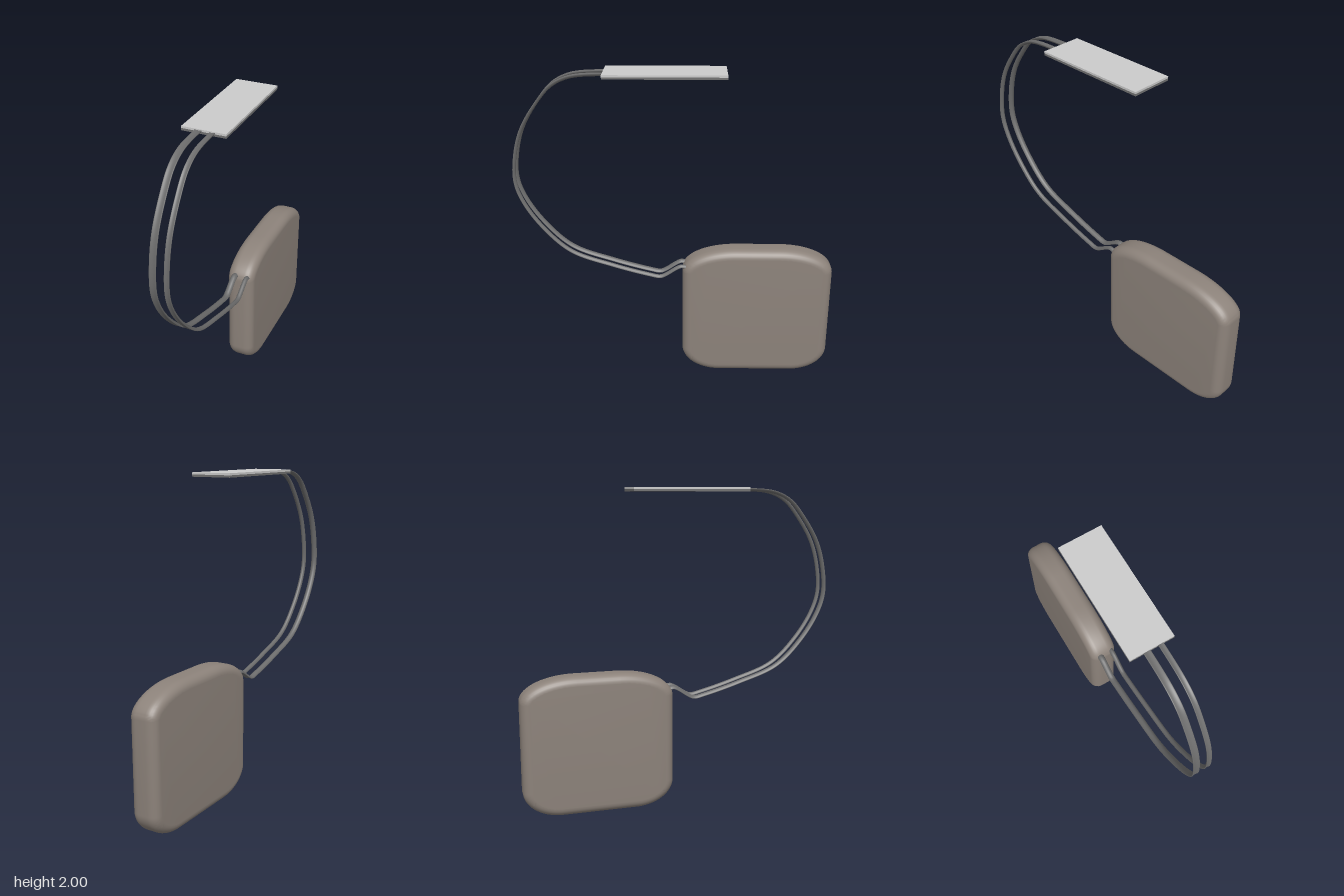
import * as THREE from 'three';
import { toCreasedNormals } from 'three/addons/utils/BufferGeometryUtils.js';
import { ParametricGeometry } from 'three/addons/geometries/ParametricGeometry.js';

const caseMat = new THREE.MeshStandardMaterial({ color: 0x8c827a });
const wireMat = new THREE.MeshStandardMaterial({ color: 0x6b6b6b, side: THREE.DoubleSide });
const darkMat = new THREE.MeshStandardMaterial({ color: 0x707070 });
const plateMat = new THREE.MeshStandardMaterial({ color: 0xcccccc });

function add(group, name, geometry, material) {
  const mesh = new THREE.Mesh(geometry, material);
  mesh.name = name;
  group.add(mesh);
  return mesh;
}

// Flat case: outline with elliptical corners, rounded toward both faces
function caseGeometry() {
  const z0 = 0.04, z1 = 0.99, top = 0.88;
  const tx = 0.34, ty = 0.155, bx = 0.24, by = 0.17;
  const s = new THREE.Shape();
  s.moveTo(z0 + bx, 0);
  s.lineTo(z1 - bx, 0);
  s.absellipse(z1 - bx, by, bx, by, -Math.PI / 2, 0, false);
  s.lineTo(z1, top - ty);
  s.absellipse(z1 - tx, top - ty, tx, ty, 0, Math.PI / 2, false);
  s.lineTo(z0 + tx, top);
  s.absellipse(z0 + tx, top - ty, tx, ty, Math.PI / 2, Math.PI, false);
  s.lineTo(z0, by);
  s.absellipse(z0 + bx, by, bx, by, Math.PI, Math.PI * 1.5, false);
  const depth = 0.06;
  const geo = new THREE.ExtrudeGeometry(s, {
    depth, curveSegments: 14, bevelSegments: 7,
    bevelThickness: 0.06, bevelSize: 0.055, bevelOffset: -0.055,
  });
  geo.translate(0, 0, -depth / 2);
  geo.rotateY(Math.PI / 2);
  return toCreasedNormals(geo, 0.6);
}

// Centre line shared by both leads, as (z, y)
const leadPath = new THREE.CatmullRomCurve3([
  [-0.09, 0.75], [-0.035, 0.765], [0.0, 0.75], [0.06, 0.71], [0.1, 0.692], [0.17, 0.705],
  [0.4, 0.77], [0.66, 0.868], [0.83, 1.03], [0.94, 1.2], [0.98, 1.33], [0.968, 1.5],
  [0.92, 1.66], [0.82, 1.82], [0.73, 1.92], [0.62, 1.972], [0.42, 1.988], [0.36, 1.988],
].map(([z, y]) => new THREE.Vector3(0, y, z)), false, 'centripetal');

// Ribbon-like lead whose outer side is slightly hollow
function leadGeometry(x, halfWidth) {
  const p = new THREE.Vector3(), t = new THREE.Vector3();
  return new ParametricGeometry((u, v, target) => {
    const a = -u * Math.PI * 2;
    leadPath.getPointAt(v, p);
    leadPath.getTangentAt(v, t);
    const out = 0.008 * Math.sin(a) + 0.009 * Math.cos(a) ** 2 - 0.003;
    target.set(x + halfWidth * Math.cos(a), p.y - t.z * out, p.z + t.y * out);
  }, 16, 120);
}

export function createModel() {
  const model = new THREE.Group();
  model.name = 'implantWithLeads';

  add(model, 'case', caseGeometry(), caseMat);
  add(model, 'wideLead', leadGeometry(-0.031, 0.021), wireMat);
  add(model, 'narrowLead', leadGeometry(0.05, 0.016), wireMat);

  // Paddle: light sheet on a dark backing
  const paddle = new THREE.Group();
  paddle.name = 'paddle';
  add(paddle, 'paddleBacking', new THREE.BoxGeometry(0.26, 0.013, 0.72), darkMat).position.y = 1.9815;
  add(paddle, 'paddleSheet', new THREE.BoxGeometry(0.26, 0.012, 0.72), plateMat).position.y = 1.994;
  paddle.position.z = 0.065;
  model.add(paddle);

  return model;
}
